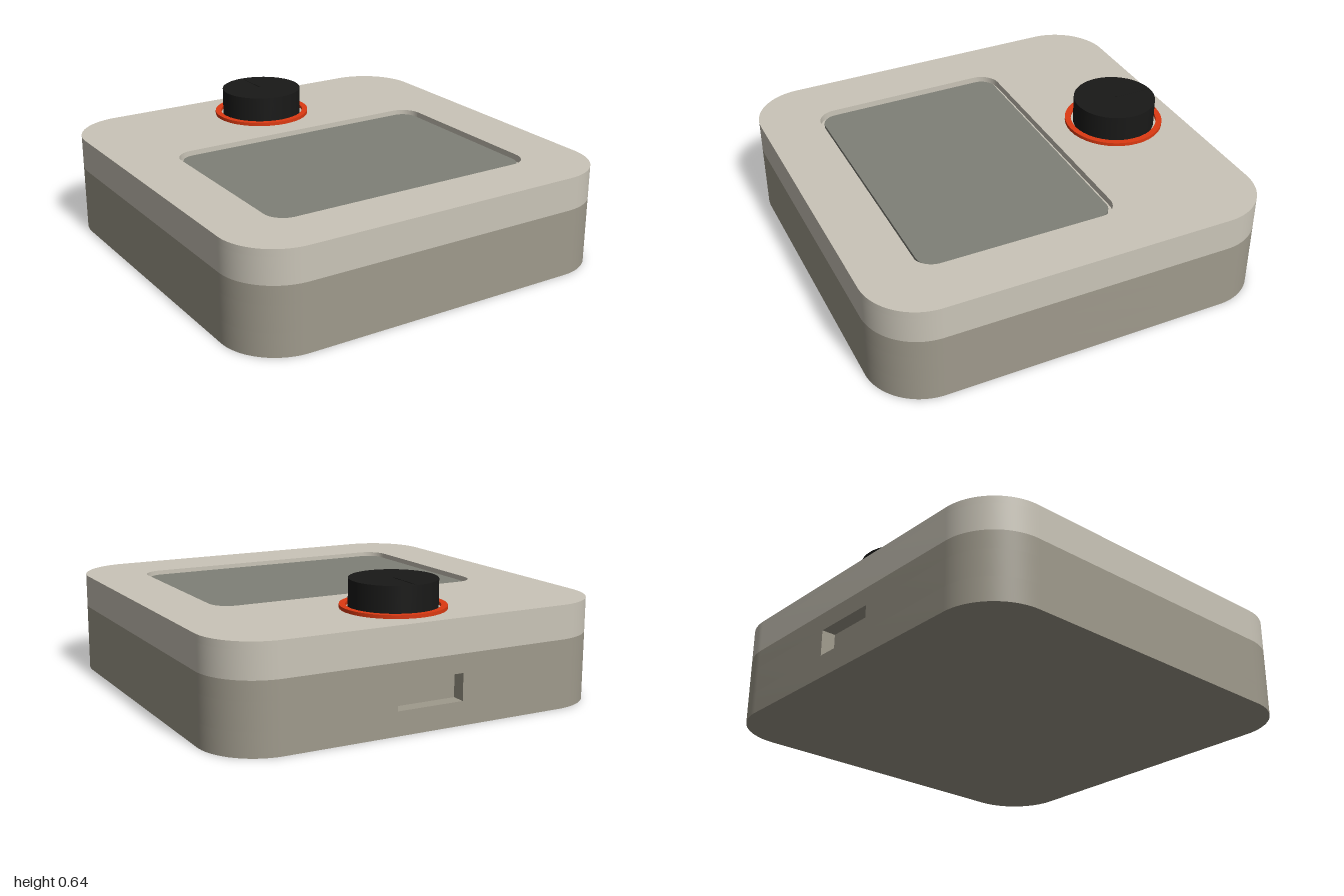
import * as THREE from 'three';
import { toCreasedNormals } from 'three/addons/utils/BufferGeometryUtils.js';

const mat = (color) => new THREE.MeshStandardMaterial({ color });
const SHELL = mat(0xcac5b8), BASE = mat(0x9f9a8c), SCREEN = mat(0x7f8077);
const BLACK = mat(0x191918), ORANGE = mat(0xdd3a12);

// Rounded rectangle; optional notch {w, d} cut into the middle of the back edge.
function outline(w, d, r, cx = 0, cy = 0, notch, Type = THREE.Shape) {
  const s = new Type(), x = w / 2, y = d / 2;
  s.moveTo(cx - x + r, cy - y);
  s.lineTo(cx + x - r, cy - y);
  s.absarc(cx + x - r, cy - y + r, r, -Math.PI / 2, 0);
  s.lineTo(cx + x, cy + y - r);
  s.absarc(cx + x - r, cy + y - r, r, 0, Math.PI / 2);
  if (notch) {
    s.lineTo(cx + notch.w / 2, cy + y);
    s.lineTo(cx + notch.w / 2, cy + y - notch.d);
    s.lineTo(cx - notch.w / 2, cy + y - notch.d);
    s.lineTo(cx - notch.w / 2, cy + y);
  }
  s.lineTo(cx - x + r, cy + y);
  s.absarc(cx - x + r, cy + y - r, r, Math.PI / 2, Math.PI);
  s.lineTo(cx - x, cy - y + r);
  s.absarc(cx - x + r, cy - y + r, r, Math.PI, Math.PI * 1.5);
  return s;
}

// Flat slab between two heights (shape y points to the back, -z).
function slab(name, shape, y0, y1, material) {
  let g = new THREE.ExtrudeGeometry(shape, { depth: y1 - y0, bevelEnabled: false, curveSegments: 20 });
  g.rotateX(-Math.PI / 2);
  g.translate(0, y0, 0);
  g = toCreasedNormals(g, 0.5);
  const m = new THREE.Mesh(g, material);
  m.name = name;
  return m;
}

export function createModel() {
  const model = new THREE.Group();
  model.name = 'desktopController';
  const R = 0.28;

  // Lower case in three layers; the middle one is notched for the rear port
  const lower = new THREE.Group();
  lower.name = 'lowerCase';
  lower.add(
    slab('lowerCaseBottom', outline(2, 2, R), 0, 0.115, BASE),
    slab('lowerCasePortLayer', outline(2, 2, R, 0, 0, { w: 0.34, d: 0.07 }), 0.115, 0.245, BASE),
    slab('lowerCaseTop', outline(2, 2, R), 0.245, 0.335, BASE),
  );
  model.add(lower);

  // Upper case with a shallow screen pocket
  const rim = outline(2, 2, R);
  rim.holes.push(outline(1.43, 1.01, 0.1, 0, -0.205, null, THREE.Path));
  const upper = new THREE.Group();
  upper.name = 'upperCase';
  upper.add(
    slab('pocketFloor', outline(2, 2, R), 0.335, 0.465, SHELL),
    slab('upperCaseRim', rim, 0.465, 0.5, SHELL),
  );
  model.add(upper);
  model.add(slab('screen', outline(1.39, 0.97, 0.08, 0, -0.205), 0.465, 0.482, SCREEN));

  // Ring and knob
  const kz = 0.67;
  const ring = new THREE.Shape().absarc(0, kz, 0.25, 0, Math.PI * 2);
  ring.holes.push(new THREE.Path().absarc(0, kz, 0.22, 0, Math.PI * 2));
  model.add(slab('knobRing', ring, 0.5, 0.517, ORANGE));

  const knob = new THREE.Mesh(new THREE.CylinderGeometry(0.208, 0.208, 0.139, 64), BLACK);
  knob.name = 'knob';
  knob.position.set(0, 0.5695, -kz);
  model.add(knob);

  // Pointer line from the knob's centre to its back edge
  const pointer = new THREE.Mesh(new THREE.BoxGeometry(0.012, 0.006, 0.18), BLACK);
  pointer.name = 'knobPointer';
  pointer.position.set(0, 0.638, -kz - 0.1);
  model.add(pointer);

  return model;
}
